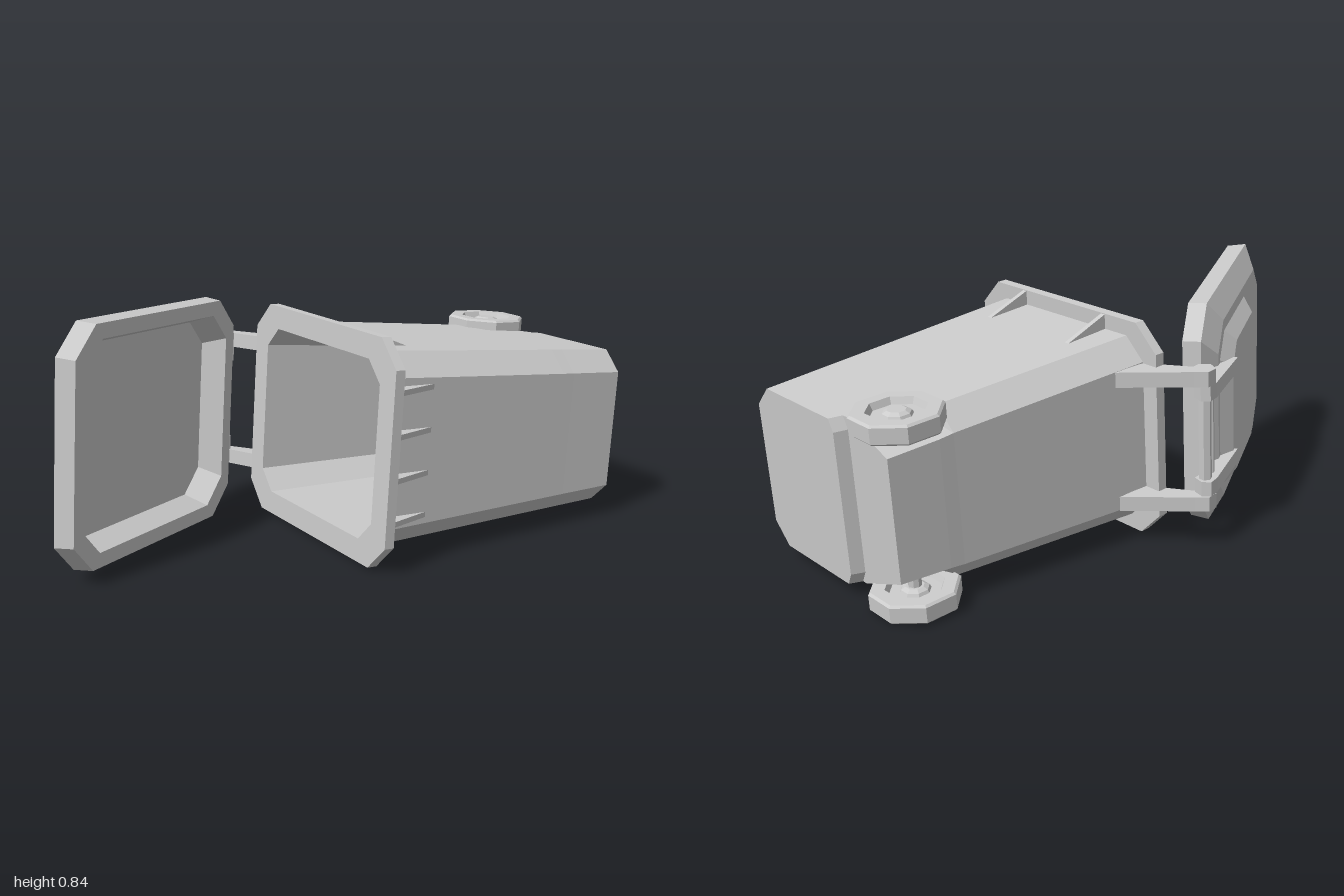
import * as THREE from 'three';

const MID = 0.389; // centre line of the bin across its width
const mat = new THREE.MeshStandardMaterial({ color: 0xcccccc, flatShading: true });

function add(parent, name, geometry, x = 0, y = 0, z = 0) {
  const mesh = new THREE.Mesh(geometry, mat);
  mesh.name = name;
  mesh.position.set(x, y, z);
  parent.add(mesh);
  return mesh;
}

// Eight-sided ring at height z: x from a0 to a1, y within +-h,
// corner cut c on the a0 side and (ca, cb) on the a1 side.
function ring(z, a0, a1, h, c, ca = c, cb = ca) {
  return [
    [a1, -h + cb], [a1, h - cb], [a1 - ca, h], [a0 + c, h],
    [a0, h - c], [a0, -h + c], [a0 + c, -h], [a1 - ca, -h],
  ].map(([x, y]) => new THREE.Vector3(x, y, z));
}

// Skin over a list of rings, capped at both ends.
function loft(rings) {
  const pts = [];
  const n = rings[0].length;
  for (let k = 0; k < rings.length - 1; k++) {
    const p = rings[k], q = rings[k + 1];
    for (let i = 0; i < n; i++) {
      const j = (i + 1) % n;
      pts.push(p[i], p[j], q[j], p[i], q[j], q[i]);
    }
  }
  const first = rings[0], last = rings[rings.length - 1];
  for (let i = 1; i < n - 1; i++) {
    pts.push(first[0], first[i + 1], first[i], last[0], last[i], last[i + 1]);
  }
  const geo = new THREE.BufferGeometry().setFromPoints(pts);
  geo.computeVertexNormals();
  return geo;
}

// Flat plate with an outline in x and z, centred on y = 0.
function plate(outline, thickness) {
  const shape = new THREE.Shape(outline.map(([x, z]) => new THREE.Vector2(x, -z)));
  const geo = new THREE.ExtrudeGeometry(shape, { depth: thickness, bevelEnabled: false });
  return geo.translate(0, 0, -thickness / 2).rotateX(-Math.PI / 2);
}

function addBody(bin) {
  // Inner floor, inner wall, rim flange, outer wall, wheel recess, base
  const body = add(bin, 'body', loft([
    ring(0.90, -0.40, 0.21, 0.255, 0.06, 0.19, 0.075),
    ring(0.72, -0.41, 0.225, 0.265, 0.065),
    ring(-0.075, -0.435, 0.285, 0.30, 0.07),
    ring(-0.075, -0.52, 0.37, 0.38, 0.09),
    ring(-0.04, -0.52, 0.37, 0.38, 0.09),
    ring(-0.04, -0.46, 0.31, 0.327, 0.075),
    ring(0.69, -0.438, 0.253, 0.292, 0.072),
    ring(0.74, -0.436, 0.25, 0.29, 0.072, 0.2, 0.075),
    ring(0.915, -0.431, 0.235, 0.281, 0.07, 0.2, 0.075),
    ring(0.915, -0.431, 0.036, 0.281, 0.07, 0.02, 0.04),
    ring(0.957, -0.43, 0.02, 0.279, 0.07, 0.02, 0.04),
  ]), 0, MID, 0);
  body.rotation.y = Math.PI / 2;

  // Triangular ribs under the rim: four at the front, two on each side
  const rib = plate([[-0.04, 0], [0.13, 0], [-0.04, 0.06]], 0.018);
  for (const v of [-0.215, -0.072, 0.072, 0.215]) {
    add(bin, 'frontRib', rib, 0, MID + v, 0.453);
  }
  for (const z of [0.28, -0.125]) {
    for (const side of [1, -1]) {
      add(bin, 'sideRib', rib, 0, MID + side * 0.317, z).rotation.x = -side * Math.PI / 2;
    }
  }
}

function addWheels(bin) {
  const profile = [
    [0, -0.028], [0.03, -0.028], [0.045, -0.02], [0.05, -0.01], [0.085, -0.01], [0.095, -0.032],
    [0.138, -0.032], [0.146, -0.025], [0.146, 0.025], [0.138, 0.032],
    [0.095, 0.032], [0.085, 0.01], [0.05, 0.01], [0.045, 0.02], [0.03, 0.028], [0, 0.028],
  ].map(([r, y]) => new THREE.Vector2(r, y));
  const wheel = new THREE.LatheGeometry(profile, 8).rotateY(Math.PI / 8);
  for (const side of [1, -1]) add(bin, 'wheel', wheel, 0.83, MID + side * 0.292, -0.178);
  add(bin, 'axle', new THREE.CylinderGeometry(0.022, 0.022, 0.56, 8), 0.83, MID, -0.178);
}

function addHinge(bin) {
  const bodyArm = plate([
    [0.08, -0.305], [-0.09, -0.49], [-0.12, -0.525], [-0.16, -0.52],
    [-0.18, -0.48], [-0.155, -0.45], [-0.125, -0.455], [-0.07, -0.36], [-0.06, -0.305],
  ], 0.052);
  const lidArm = plate([
    [-0.11, -0.5], [-0.13, -0.525], [-0.17, -0.515], [-0.39, -0.41],
    [-0.37, -0.37], [-0.24, -0.41], [-0.16, -0.455], [-0.12, -0.46],
  ], 0.052);
  for (const side of [1, -1]) {
    add(bin, 'bodyArm', bodyArm, 0, MID + side * 0.222, 0);
    add(bin, 'lidArm', lidArm, 0, MID + side * 0.17, 0);
  }
  add(bin, 'handleBar', new THREE.CylinderGeometry(0.022, 0.022, 0.44, 6), -0.143, MID, -0.487);
  add(bin, 'lidBar', new THREE.CylinderGeometry(0.015, 0.015, 0.34, 6), -0.19, MID, -0.465);
}

function addLid(bin) {
  const hinge = new THREE.Group();
  hinge.name = 'lid';
  hinge.position.set(-0.195, MID, -0.39);
  hinge.rotation.y = Math.PI + 0.547;
  bin.add(hinge);
  // Inner floor, skirt, sloped shoulder, raised panel
  add(hinge, 'lidShell', loft([
    ring(0.045, 0.085, 0.855, 0.315, 0.085),
    ring(-0.04, 0.06, 0.88, 0.345, 0.09),
    ring(-0.04, 0.01, 0.925, 0.395, 0.1),
    ring(0.025, 0, 0.94, 0.40, 0.1),
    ring(0.07, 0.065, 0.85, 0.325, 0.09),
    ring(0.07, 0.09, 0.63, 0.285, 0.08),
    ring(0.107, 0.14, 0.575, 0.24, 0.065),
  ]));
}

export function createModel() {
  const model = new THREE.Group();
  model.name = 'fallenWheeledBin';
  // The bin lies on its side, resting slightly nose-down
  const bin = new THREE.Group();
  bin.name = 'bin';
  bin.rotation.z = -0.06;
  model.add(bin);
  addBody(bin);
  addWheels(bin);
  addHinge(bin);
  addLid(bin);
  return model;
}
